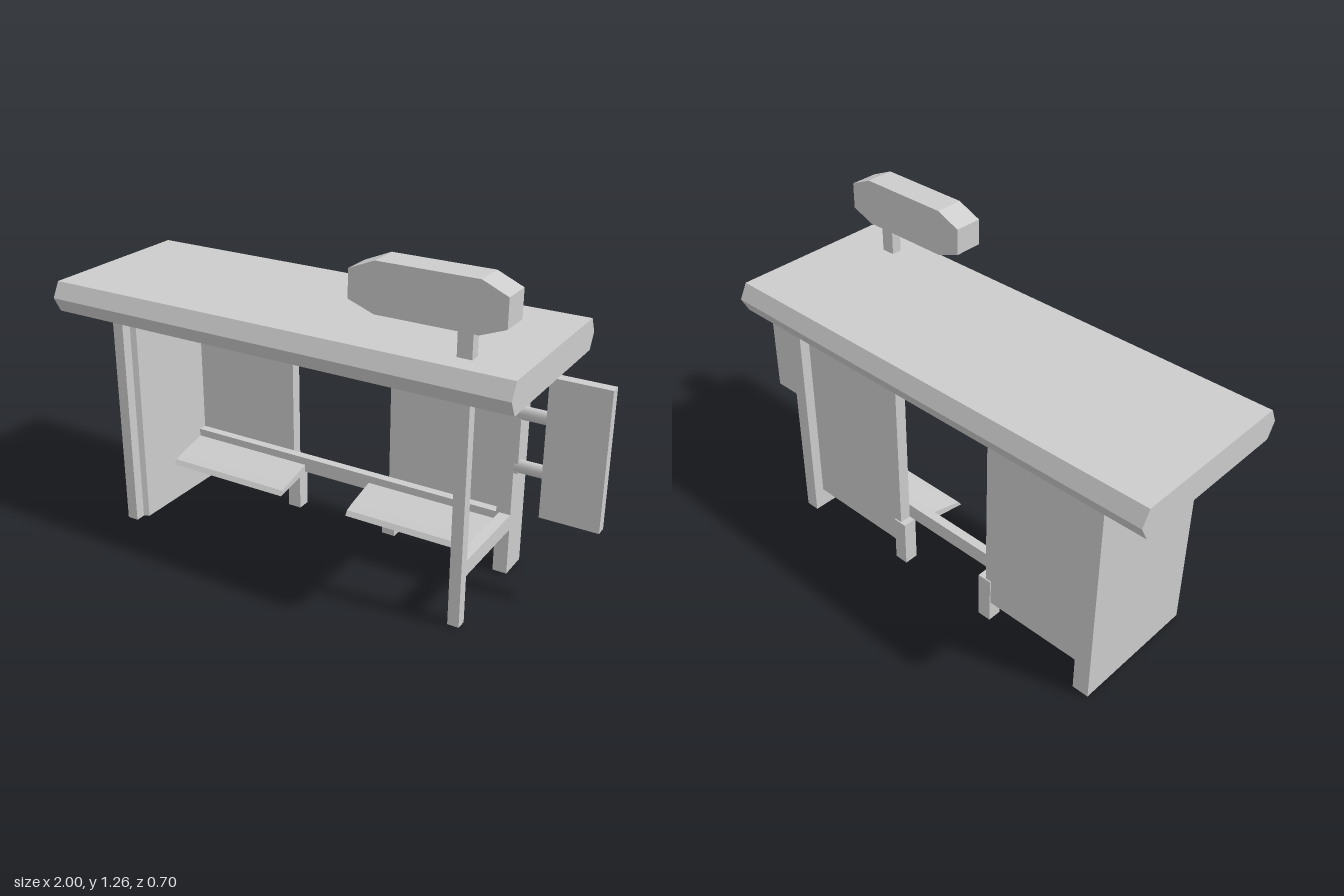
import * as THREE from 'three';

const mat = new THREE.MeshStandardMaterial({ color: 0xcccccc });
const flat = new THREE.MeshStandardMaterial({ color: 0xcccccc, flatShading: true });

export function createModel() {
  const model = new THREE.Group();

  const add = (name, geometry, material = flat) => {
    const mesh = new THREE.Mesh(geometry, material);
    mesh.name = name;
    model.add(mesh);
    return mesh;
  };
  // Box given by its limits on each axis
  const box = (name, x0, x1, y0, y1, z0, z1) =>
    add(name, new THREE.BoxGeometry(x1 - x0, y1 - y0, z1 - z0)
      .translate((x0 + x1) / 2, (y0 + y1) / 2, (z0 + z1) / 2));
  const extrude = (points, depth) => new THREE.ExtrudeGeometry(
    new THREE.Shape(points.map(([a, b]) => new THREE.Vector2(a, b))),
    { depth, bevelEnabled: false });
  // (z, y) profile swept along x
  const sweepX = (name, points, x0, x1) =>
    add(name, extrude(points.map(([z, y]) => [-z, y]), x1 - x0)
      .rotateY(Math.PI / 2).translate(x0, 0, 0));

  // Worktop with pointed long edges
  sweepX('worktop', [[-0.32, 0.87], [0.32, 0.87], [0.35, 0.927],
    [0.32, 0.985], [-0.32, 0.985], [-0.35, 0.927]], -1, 0.822);

  // Solid end panel, narrowing to a slim front post
  add('endPanel', extrude([[-0.82, 0.28], [-0.755, 0.28], [-0.755, -0.19],
    [-0.775, -0.2], [-0.775, -0.24], [-0.82, -0.24]], 0.865)
    .rotateX(-Math.PI / 2).translate(0, 0.005, 0));

  // Open end frame
  box('frontLeg', 0.597, 0.64, 0.005, 0.87, 0.2, 0.24);
  box('backLeg', 0.585, 0.64, 0.005, 0.87, -0.28, -0.16);
  box('sideRail', 0.597, 0.64, 0.19, 0.25, -0.16, 0.2);
  box('backRail', -0.755, 0.585, 0.19, 0.25, -0.195, -0.16);

  // Back panels, each with a small foot and a sloping footrest
  const bays = [
    { panel: [-0.755, -0.31], foot: [-0.335, -0.28], rest: [-0.755, -0.235] },
    { panel: [0.125, 0.585], foot: [0.1, 0.155], rest: [0.055, 0.585] },
  ];
  for (const { panel, foot, rest } of bays) {
    box('backPanel', ...panel, 0.085, 0.8, -0.24, -0.195);
    box('foot', ...foot, 0, 0.19, -0.245, -0.19);
    sweepX('footrest', [[-0.16, 0.187], [0.015, 0.16], [0.002, 0.178],
      [-0.035, 0.19], [-0.16, 0.22]], ...rest);
  }

  // Headboard on a short post
  box('headPost', 0.587, 0.64, 0.98, 1.1, 0.2, 0.24);
  add('headboard', extrude([[0.32, 1.09], [0.68, 1.09], [0.77, 1.125], [0.77, 1.225],
    [0.68, 1.265], [0.32, 1.265], [0.225, 1.225], [0.225, 1.125]], 0.11)
    .translate(0, 0, 0.18));

  // Side board hung from a bracket with two arms
  box('bracketPost', 0.665, 0.695, 0.475, 0.87, -0.09, -0.06);
  for (const y of [0.7, 0.5]) {
    add('bracketArm', new THREE.CylinderGeometry(0.025, 0.025, 0.11, 24)
      .rotateZ(Math.PI / 2).scale(1, 1, 0.7).translate(0.735, y, -0.075), mat);
  }
  box('sideBoard', 0.785, 1, 0.335, 0.855, -0.095, -0.055);

  return model;
}
